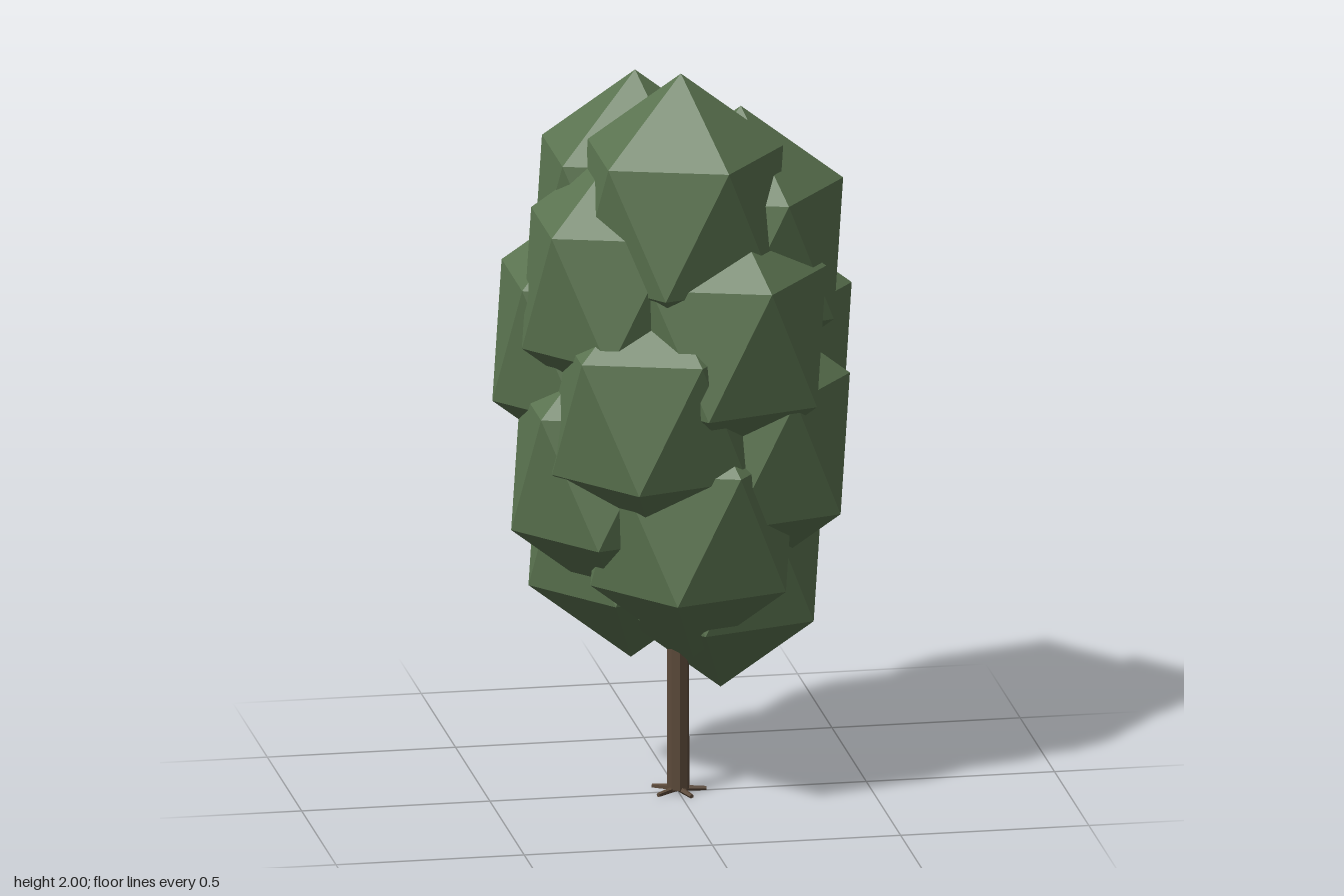
import * as THREE from 'three';

export function createModel() {
  const tree = new THREE.Group();
  tree.name = 'tree';

  const leafGreen = new THREE.MeshStandardMaterial({ name: 'leafGreen', color: 0x5c7551, flatShading: true });
  const barkBrown = new THREE.MeshStandardMaterial({ name: 'barkBrown', color: 0x5c4a3a, flatShading: true });

  // Leaf clump: icosahedron turned so one corner points straight up, stretched tall
  const clumpGeometry = new THREE.IcosahedronGeometry(1, 0);
  clumpGeometry.rotateZ(-Math.atan(2 / (1 + Math.sqrt(5))));
  clumpGeometry.scale(0.304, 0.38, 0.284);

  // Crown: clumps climb in a golden-angle spiral, widest around the middle
  const crown = new THREE.Group();
  crown.name = 'crown';
  const goldenAngle = Math.PI * (3 - Math.sqrt(5));
  const spread = [0.113, 0.146, 0.146, 0.148, 0.18, 0.196, 0.199, 0.211,
    0.216, 0.223, 0.207, 0.187, 0.185, 0.164, 0.158, 0.141];
  spread.forEach((radius, i) => {
    const angle = -i * goldenAngle;
    const clump = new THREE.Mesh(clumpGeometry, leafGreen);
    clump.name = 'leafClump' + (i + 1);
    clump.position.set(radius * Math.cos(angle), 0.66 + 0.064 * i, radius * Math.sin(angle));
    crown.add(clump);
  });
  tree.add(crown);

  // Trunk, running up into the crown
  const trunk = new THREE.Mesh(new THREE.CylinderGeometry(0.028, 0.03, 0.89, 8), barkBrown);
  trunk.name = 'trunk';
  trunk.position.y = 0.455;
  tree.add(trunk);

  // Roots: short tapered sticks spreading from the foot of the trunk
  const rootGeometry = new THREE.CylinderGeometry(0.006, 0.009, 0.066, 5);
  rootGeometry.rotateZ(-Math.PI / 2);
  rootGeometry.translate(0.042, 0, 0);
  rootGeometry.rotateZ(-0.06);
  for (let i = 0; i < 5; i++) {
    const root = new THREE.Mesh(rootGeometry, barkBrown);
    root.name = 'root' + (i + 1);
    root.position.y = 0.0105;
    root.rotation.y = (i * Math.PI * 2) / 5;
    tree.add(root);
  }

  return tree;
}
